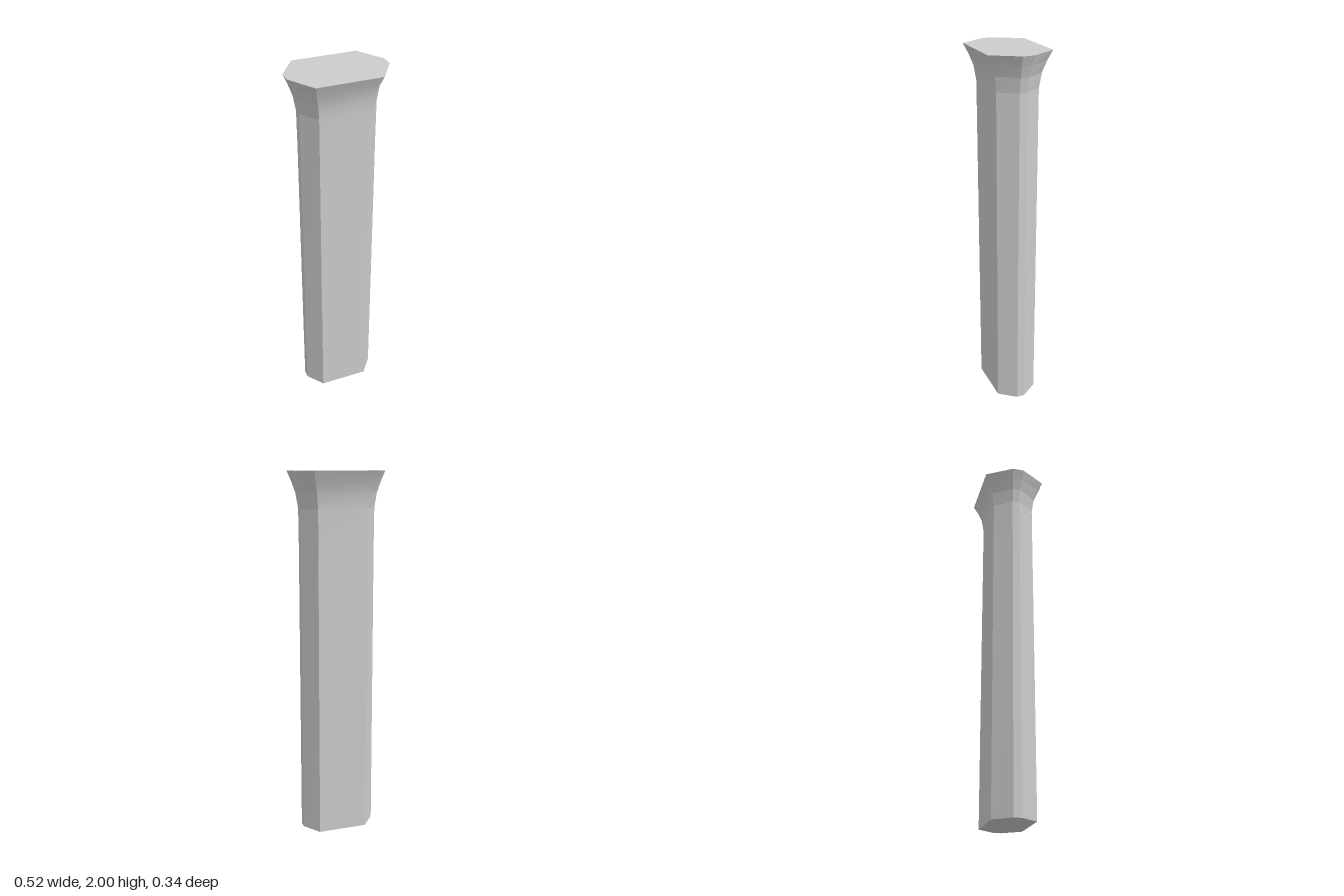
import * as THREE from 'three';

// Section levels: y, half width, half depth, half width of front flat, half depth of end flat
const LEVELS = [
  [0, 0.207, 0.115, 0.136, 0.022],
  [0.77, 0.205, 0.115, 0.136, 0.022],
  [1.6, 0.203, 0.115, 0.135, 0.02],
  [1.81, 0.204, 0.115, 0.135, 0.02],
  [1.89, 0.218, 0.126, 0.144, 0.021],
  [1.95, 0.239, 0.148, 0.157, 0.026],
  [2, 0.26, 0.172, 0.17, 0.031],
];

// Eight corners of a section, running from +x through +z to -x
function section([y, w, d, fx, ez]) {
  return [[w, -ez], [w, ez], [fx, d], [-fx, d], [-w, ez], [-w, -ez], [-fx, -d], [fx, -d]]
    .map(([x, z]) => [x, y, z]);
}

function geometryFrom(points, index, flat) {
  let geo = new THREE.BufferGeometry();
  geo.setAttribute('position', new THREE.Float32BufferAttribute(points.flat(), 3));
  geo.setIndex(index);
  if (flat) geo = geo.toNonIndexed();
  geo.computeVertexNormals();
  return geo;
}

export function createModel() {
  const group = new THREE.Group();
  group.name = 'column';
  const stone = new THREE.MeshStandardMaterial({ color: 0xcccccc });
  stone.name = 'grey stone';
  const rings = LEVELS.map(section);
  const add = (name, geo) => {
    const mesh = new THREE.Mesh(geo, stone);
    mesh.name = name;
    group.add(mesh);
  };

  // One lofted strip per side; the broad front and back curve smoothly into the flare
  const names = ['leftEnd', 'frontLeftChamfer', 'front', 'frontRightChamfer',
    'rightEnd', 'backRightChamfer', 'back', 'backLeftChamfer'];
  names.forEach((name, i) => {
    const points = [], index = [];
    rings.forEach((ring, r) => {
      points.push(ring[i], ring[(i + 1) % 8]);
      if (r) {
        const a = 2 * r - 2;
        index.push(a, a + 2, a + 1, a + 1, a + 2, a + 3);
      }
    });
    add(name, geometryFrom(points, index, i % 4 !== 2));
  });

  // Flat caps
  const topIndex = [], bottomIndex = [];
  for (let i = 1; i < 7; i++) {
    topIndex.push(0, i + 1, i);
    bottomIndex.push(0, i, i + 1);
  }
  add('topCap', geometryFrom(rings[rings.length - 1], topIndex, true));
  add('bottomCap', geometryFrom(rings[0], bottomIndex, true));
  return group;
}
